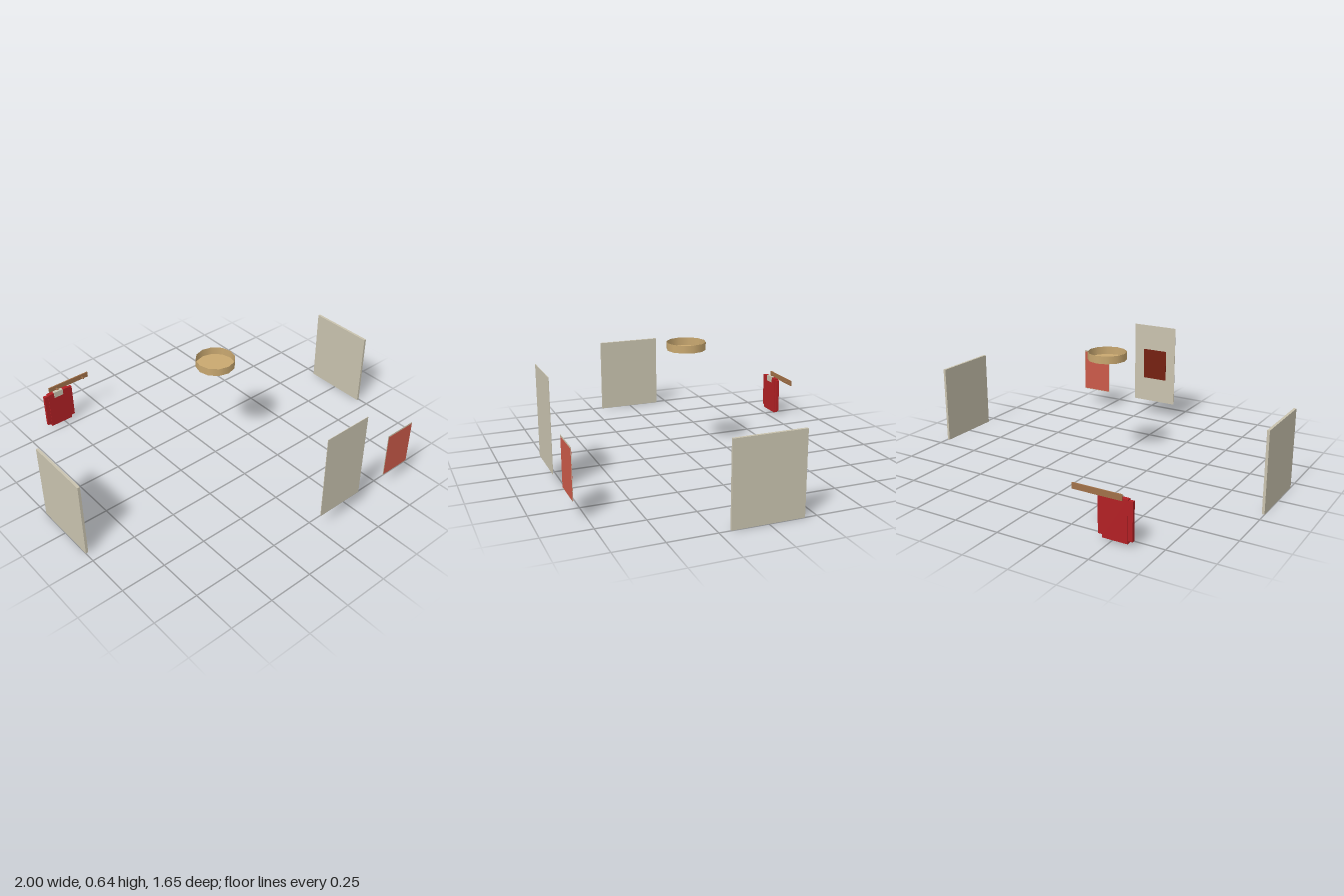
import * as THREE from 'three';

const mat = (name, color, side = THREE.FrontSide) => {
  const m = new THREE.MeshStandardMaterial({ color, side });
  m.name = name;
  return m;
};

export function createModel() {
  const model = new THREE.Group();
  const stone = mat('stone beige', 0xc9c3af);
  const coral = mat('coral red', 0xcb5a49);
  const maroon = mat('maroon', 0x752010);
  const red = mat('deep red', 0xb22024);
  const wood = mat('wood brown', 0xa07048);
  const tan = mat('tan', 0xc9a870, THREE.DoubleSide);

  // Box given by its lower and upper corners
  const box = (name, material, [x0, y0, z0], [x1, y1, z1], parent = model) => {
    const mesh = new THREE.Mesh(new THREE.BoxGeometry(x1 - x0, y1 - y0, z1 - z0), material);
    mesh.position.set((x0 + x1) / 2, (y0 + y1) / 2, (z0 + z1) / 2);
    mesh.name = name;
    parent.add(mesh);
  };

  // Upright panels on both sides
  box('leftPanel', stone, [0.986, 0, -0.187], [1, 0.435, 0.187]);
  box('rightPanel', stone, [-1, 0, -0.187], [-0.986, 0.435, 0.187]);

  // Tall front board with a dark patch on its back
  box('frontBoard', stone, [0, 0.1, 0.819], [0.28, 0.592, 0.822]);
  box('boardPatch', maroon, [0.06, 0.25, 0.817], [0.215, 0.437, 0.819]);

  // Small notice with coral faces and a pale margin
  box('noticeBacking', stone, [0.473, 0.105, 0.819], [0.66, 0.368, 0.821]);
  box('noticeFront', coral, [0.477, 0.109, 0.821], [0.658, 0.36, 0.822]);
  box('noticeBack', coral, [0.477, 0.109, 0.818], [0.658, 0.36, 0.819]);

  // Open round tray with twelve sides
  const tray = new THREE.Group();
  tray.name = 'tray';
  const wall = new THREE.Mesh(new THREE.CylinderGeometry(0.106, 0.106, 0.042, 12, 1, true), tan);
  wall.name = 'trayWall';
  wall.position.y = 0.617;
  const floor = new THREE.Mesh(new THREE.CircleGeometry(0.106, 12), tan);
  floor.name = 'trayFloor';
  floor.rotation.x = -Math.PI / 2;
  floor.position.y = 0.596;
  tray.add(wall, floor);
  model.add(tray);

  // Hanging red bag: a wide body and a narrower, taller core
  const bag = new THREE.Group();
  bag.name = 'hangingBag';
  box('bagBody', red, [-0.614, 0.027, -0.809], [-0.432, 0.225, -0.792], bag);
  box('bagCore', red, [-0.59, 0.012, -0.812], [-0.455, 0.231, -0.789], bag);
  box('bagTag', stone, [-0.553, 0.2, -0.805], [-0.495, 0.236, -0.786], bag);

  // Rail behind the bag with two pegs
  box('rail', wood, [-0.566, 0.224, -0.824], [-0.302, 0.255, -0.817], bag);
  for (const x of [-0.52, -0.345])
    box('peg', wood, [x - 0.003, 0.235, -0.817], [x + 0.003, 0.241, -0.797], bag);
  model.add(bag);

  return model;
}
